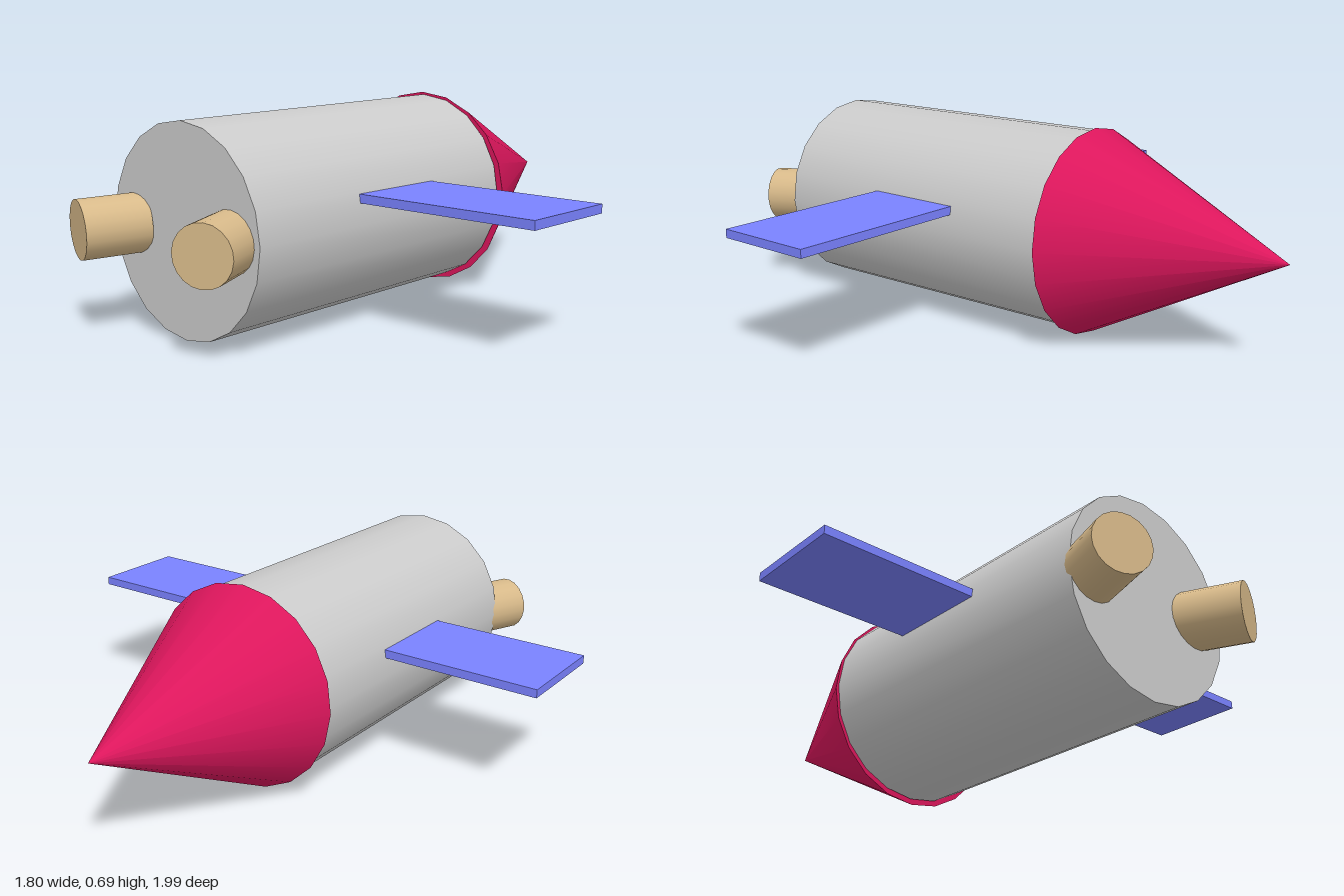
import * as THREE from 'three';

const SIDES = 20;
const UP = new THREE.Vector3(0, 1, 0);

// Round part running from point a to point b
function roundPart(name, a, b, radiusA, radiusB, color) {
  const start = new THREE.Vector3(...a);
  const end = new THREE.Vector3(...b);
  const axis = end.clone().sub(start);
  const mesh = new THREE.Mesh(
    new THREE.CylinderGeometry(radiusB, radiusA, axis.length(), SIDES),
    new THREE.MeshStandardMaterial({ color })
  );
  mesh.name = name;
  mesh.position.copy(start).add(end).multiplyScalar(0.5);
  mesh.quaternion.setFromUnitVectors(UP, axis.normalize());
  return mesh;
}

export function createModel() {
  const model = new THREE.Group();
  model.name = 'rocket';

  // Hull lying along z, with the nose pointing to the back
  model.add(roundPart('hull', [-0.05, 0.342, 0.8], [-0.045, 0.352, -0.31], 0.33, 0.33, 0xcccccc));
  model.add(roundPart('noseCone', [-0.042, 0.348, -0.312], [-0.055, 0.364, -1], 0.343, 0, 0xdc165c));

  // Splayed engine nozzles sunk into the flat end
  model.add(roundPart('leftNozzle', [0.14, 0.342, 0.765], [0.218, 0.335, 0.955], 0.094, 0.094, 0xd8ba8a));
  model.add(roundPart('rightNozzle', [-0.277, 0.342, 0.772], [-0.344, 0.335, 0.963], 0.094, 0.094, 0xd8ba8a));

  // One thin slab passing through the hull forms both wings
  const wings = new THREE.Mesh(
    new THREE.BoxGeometry(1.8, 0.028, 0.342),
    new THREE.MeshStandardMaterial({ color: 0x7a82ff })
  );
  wings.name = 'wings';
  wings.position.set(0, 0.425, 0.209);
  wings.rotation.set(0, -0.008, -0.001);
  model.add(wings);

  return model;
}
